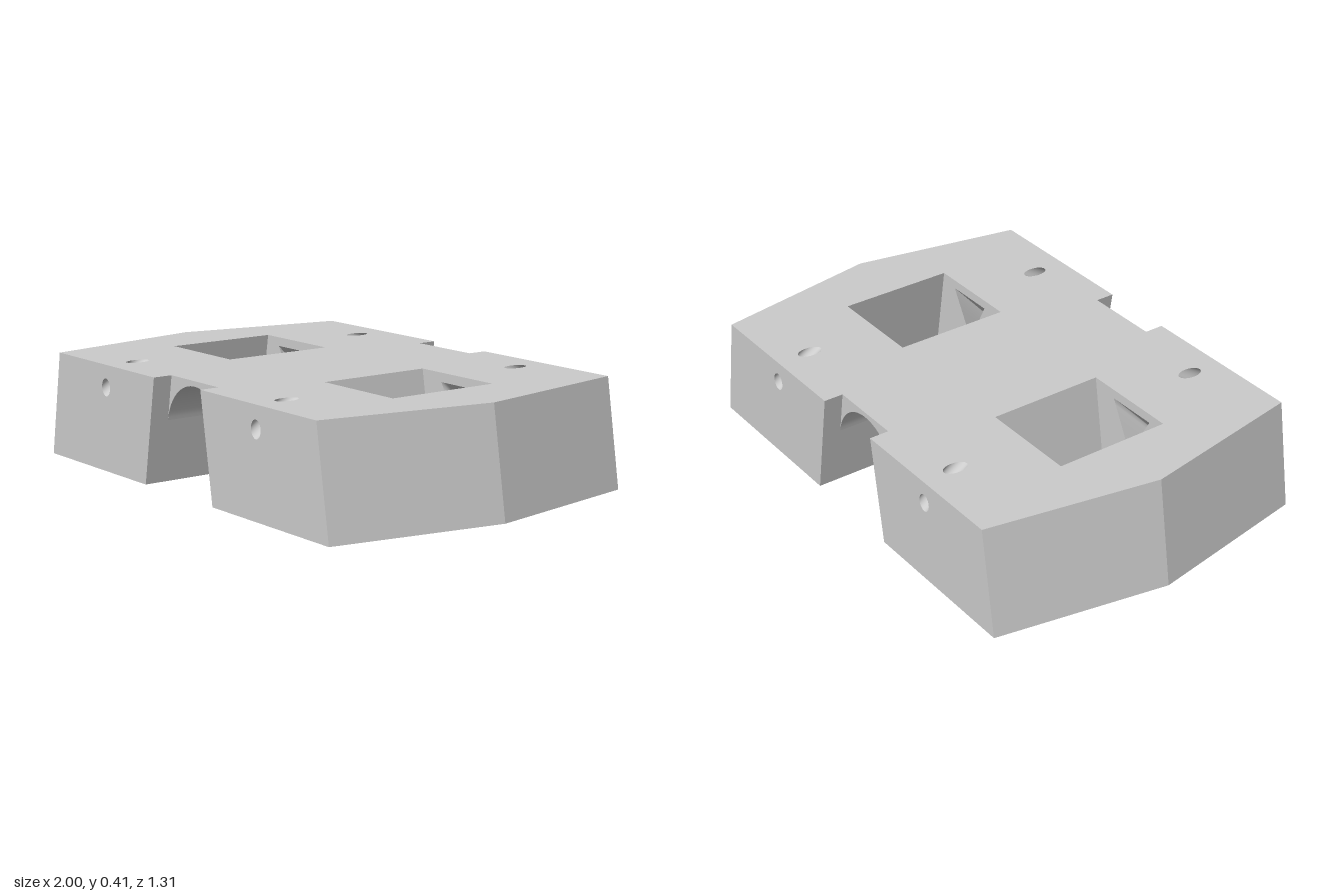
import * as THREE from 'three';

const H = 0.405, K = 0.165, D = 0.655, NOTCH = 0.58, WIN = 0.225;
const V = (x, y, z) => new THREE.Vector3(x, y, z);
const lean = (x, y) => x - K * y; // all uprights share one draft slope
const material = new THREE.MeshStandardMaterial({ color: 0xcccccc, side: THREE.DoubleSide });

// Finish a surface so that its front looks toward the target point
function surface(name, geometry, target) {
  const p = geometry.attributes.position, index = Array.from(geometry.index.array);
  const [a, b, c] = index.slice(0, 3).map(i => V().fromBufferAttribute(p, i));
  const normal = b.clone().sub(a).cross(c.sub(a));
  if (normal.dot(target.clone().sub(a)) < 0) {
    for (let i = 0; i < index.length; i += 3) [index[i + 1], index[i + 2]] = [index[i + 2], index[i + 1]];
    geometry.setIndex(index);
  }
  geometry.computeVertexNormals();
  const mesh = new THREE.Mesh(geometry, material);
  mesh.name = name;
  return mesh;
}

// Flat outline with holes, placed in space by map(u, v)
function panel(name, outline, holes, map, target) {
  const toPoints = list => list.map(([u, v]) => new THREE.Vector2(u, v));
  const shape = new THREE.Shape(toPoints(outline));
  shape.holes = holes.map(h => new THREE.Path(toPoints(h)));
  const g = new THREE.ShapeGeometry(shape);
  const p = g.attributes.position;
  for (let i = 0; i < p.count; i++) {
    const q = map(p.getX(i), p.getY(i));
    p.setXYZ(i, q.x, q.y, q.z);
  }
  return surface(name, g, target);
}

// Ruled surface between two rows of points
function ruled(name, rowA, rowB, target) {
  const n = rowA.length, index = [];
  for (let i = 0; i < n - 1; i++) index.push(i, i + 1, n + i, i + 1, n + i + 1, n + i);
  const g = new THREE.BufferGeometry().setFromPoints([...rowA, ...rowB]);
  g.setIndex(index);
  if (!target) {
    target = V(0, 0, 0);
    [rowA[0], rowB[0], rowA[n >> 1], rowB[n >> 1]].forEach(q => target.addScaledVector(q, 0.25));
  }
  return surface(name, g, target);
}

const SEG = 24;
const steps = Array.from({ length: SEG + 1 }, (_, i) => i / SEG);
const ellipse = (cx, cy, rx, ry) => steps.map(t => {
  const a = Math.PI / 6 + t * Math.PI * 2;
  return [cx + rx * Math.cos(a), cy + ry * Math.sin(a)];
});
const corners = [[0.6, 0.37], [0.4, 0.37], [0.495, 0.19]];
const triangle = steps.map(t => {
  const k = Math.min(2, Math.floor(t * 3 + 1e-6)), f = t * 3 - k, a = corners[k], b = corners[(k + 1) % 3];
  return [a[0] + (b[0] - a[0]) * f, a[1] + (b[1] - a[1]) * f];
});
const open = ring => ring.slice(0, -1);

export function createModel() {
  const model = new THREE.Group();
  model.name = 'saddleBlock';
  const add = (...parts) => model.add(...parts);

  const topHole = ellipse(0.47, 0.52, 0.028, 0.048);
  const frontHole = ellipse(0.478, 0.32, 0.028, 0.034);
  const bottomHole = ellipse(0.54, 0.53, 0.028, 0.048);
  const flip = (list, sx, sz) => list.map(([u, v]) => [u * sx, v * sz]);
  const box = (x0, x1) => [[x0, -WIN], [x1, -WIN], [x1, WIN], [x0, WIN]];

  // Top plate with end notches, windows and cord holes
  const quarter = [[lean(0.215, H), NOTCH], [lean(0.215, H), D], [lean(0.88, H), D], [lean(1, H), 0]];
  const right = [...quarter, ...flip(quarter, 1, -1).reverse().slice(1)];
  const topHoles = [];
  for (const sx of [1, -1]) {
    topHoles.push(flip(box(lean(0.36, H), lean(0.74, H)), sx, 1));
    for (const sz of [1, -1]) topHoles.push(flip(open(topHole), sx, sz));
  }
  add(panel('top', [...right, ...flip(right, -1, 1).reverse()], topHoles, (u, v) => V(u, H, v), V(0, 9, 0)));

  // Central arch, tangent to the sloping slot walls
  const tilt = Math.atan(K), cy = 0.2065, r = 0.1785;
  const arch = Array.from({ length: 41 }, (_, i) => {
    const a = tilt + (Math.PI - 2 * tilt) * i / 40;
    return [r * Math.cos(a), cy + r * Math.sin(a)];
  });
  const archRow = z => arch.map(([x, y]) => V(x, y, z));
  add(ruled('arch', archRow(-NOTCH), archRow(NOTCH), V(0, 0.1, 0)));
  const slotTop = lean(0.215, H);
  for (const sz of [1, -1])
    add(panel('notchEnd', [...arch, [-slotTop, H], [slotTop, H]], [], (u, v) => V(u, v, sz * NOTCH), V(0, 0.3, 9 * sz)));

  for (const sx of [1, -1]) {
    // Underside of each foot
    add(panel('underside', [[0.215, -D], [0.88, -D], [1, 0], [0.88, D], [0.215, D]],
      [box(0.36, 0.74), open(bottomHole), flip(open(bottomHole), 1, -1)],
      (u, v) => V(sx * u, 0, v), V(0, -9, 0)));

    // Slot wall, full height at the notches
    const yt = arch[0][1];
    add(panel('slotWall', [[-D, 0], [D, 0], [D, H], [NOTCH, H], [NOTCH, yt], [-NOTCH, yt], [-NOTCH, H], [-D, H]], [],
      (u, v) => V(sx * lean(0.215, v), v, u), V(0, 0.1, 0)));

    // Inner and outer window walls
    const inside = V(sx * 0.515, 0.2, 0);
    for (const x of [0.36, 0.74])
      add(panel('windowSide', [[-WIN, 0], [WIN, 0], [WIN, H], [-WIN, H]], [],
        (u, v) => V(sx * lean(x, v), v, u), inside));

    for (const sz of [1, -1]) {
      const upright = (x0, x1) => [[x0, 0], [x1, 0], [lean(x1, H), H], [lean(x0, H), H]];
      add(panel('endFace', upright(0.215, 0.88), [open(frontHole)],
        (u, v) => V(sx * u, v, sz * D), V(0, 0, 9 * sz)));
      add(panel('windowEnd', upright(0.36, 0.74), [open(triangle)],
        (u, v) => V(sx * u, v, sz * WIN), inside));
      add(ruled('outerFlank',
        [V(sx, 0, 0), V(sx * lean(1, H), H, 0)],
        [V(sx * 0.88, 0, sz * D), V(sx * lean(0.88, H), H, sz * D)], V(9 * sx, 0, 0)));

      // Cord channel across the top corner
      add(ruled('cornerChannel',
        topHole.map(([x, z]) => V(sx * x, H, sz * z)),
        frontHole.map(([x, y]) => V(sx * x, y, sz * D))));
      // Funnel from the window down to the underside
      add(ruled('funnel',
        triangle.map(([x, y]) => V(sx * x, y, sz * WIN)),
        bottomHole.map(([x, z]) => V(sx * x, 0, sz * z))));
    }
  }
  return model;
}
